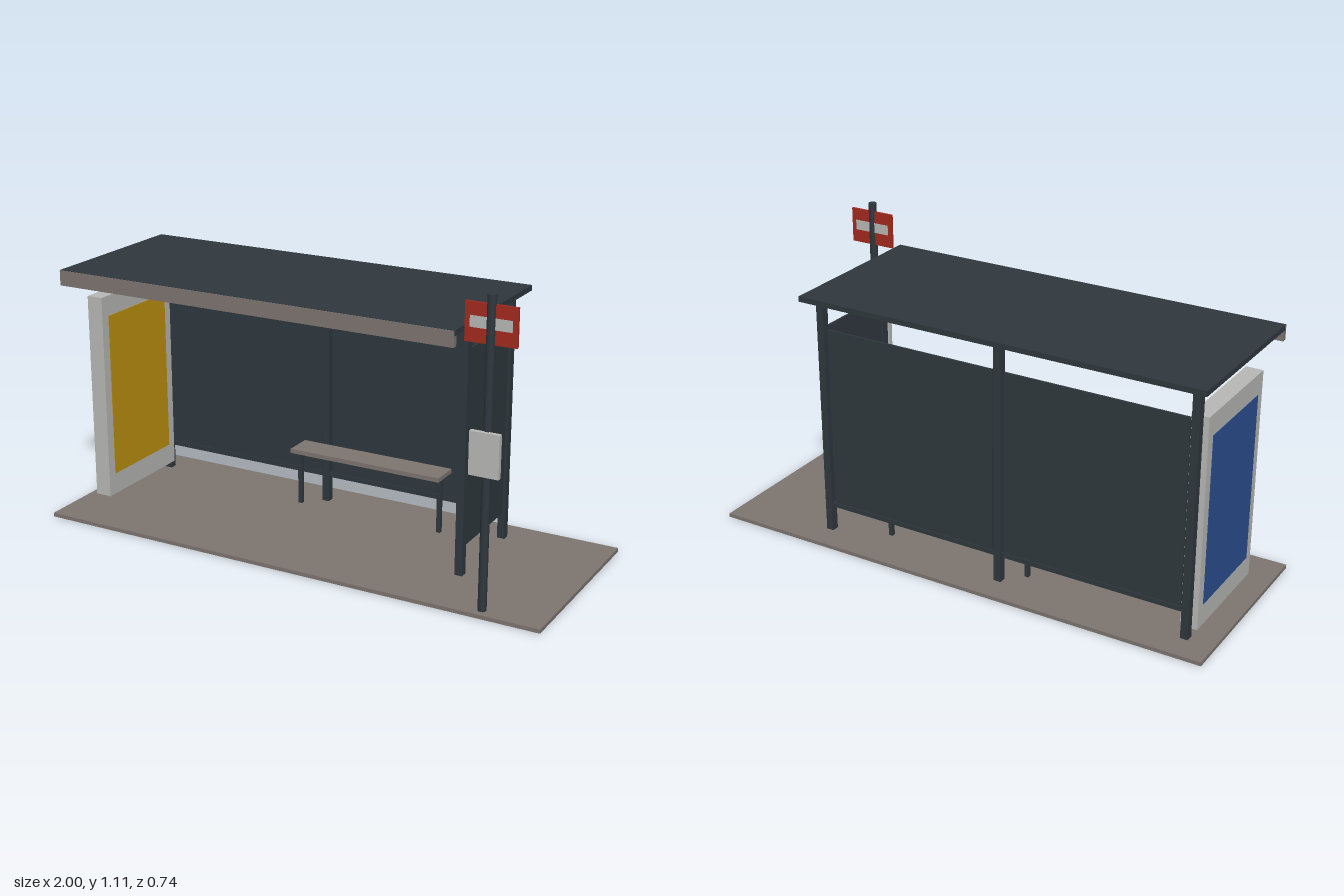
import * as THREE from 'three';

const mat = (name, color) => {
  const m = new THREE.MeshStandardMaterial({ color });
  m.name = name;
  return m;
};

export function createModel() {
  const steel = mat('dark steel', 0x2f383e);
  const stone = mat('warm grey', 0x7d7570);
  const pale = mat('pale grey', 0xb8b9b6);
  const yellow = mat('poster yellow', 0xbd910f);
  const blue = mat('poster blue', 0x2c5090);
  const red = mat('sign red', 0xa32a20);

  const model = new THREE.Group();
  model.name = 'busShelter';

  // Box given by its limits on each axis
  const box = (name, material, [x0, x1], [y0, y1], [z0, z1], parent = model) => {
    const mesh = new THREE.Mesh(new THREE.BoxGeometry(x1 - x0, y1 - y0, z1 - z0), material);
    mesh.position.set((x0 + x1) / 2, (y0 + y1) / 2, (z0 + z1) / 2);
    mesh.name = name;
    parent.add(mesh);
    return mesh;
  };
  const around = (c, half) => [c - half, c + half];

  // Paving slab and roof with front fascia
  box('pavingSlab', stone, [-1, 1], [0.0005, 0.015], [-0.372, 0.372]);
  box('roof', steel, [-0.945, 0.642], [0.95, 0.97], [-0.323, 0.322]);
  box('roofFascia', stone, [-0.945, 0.642], [0.912, 0.969], [0.306, 0.325]);

  // Posts: three at the back, one at the front
  const postX = [-0.89, -0.151, 0.59];
  const backZ = -0.258, frontZ = 0.112;
  for (const x of postX) box('backPost', steel, around(x, 0.0145), [0, 0.95], around(backZ, 0.0145));
  box('frontPost', steel, around(postX[2], 0.0145), [0, 0.95], around(frontZ, 0.0145));

  // Wall panels and rails
  for (const x of [-0.52, 0.22]) {
    box('backPanel', steel, around(x, 0.347), [0.117, 0.836], around(backZ, 0.004));
  }
  box('sidePanel', steel, around(postX[2], 0.004), [0.115, 0.838], [-0.245, 0.099]);
  box('bottomRail', steel, [postX[0], postX[2]], [0.115, 0.133], around(backZ, 0.008));
  box('topRail', steel, [postX[0], postX[2]], [0.932, 0.95], around(backZ, 0.008));

  // Advertising case with a poster on each face
  const advert = new THREE.Group();
  advert.name = 'advertCase';
  model.add(advert);
  box('caseBody', pale, [-0.925, -0.861], [0.047, 0.843], [-0.245, 0.194], advert);
  box('innerPoster', yellow, [-0.862, -0.859], [0.13, 0.765], [-0.208, 0.157], advert);
  box('outerPoster', blue, [-0.927, -0.924], [0.13, 0.765], [-0.208, 0.157], advert);

  // Bench
  const bench = new THREE.Group();
  bench.name = 'bench';
  model.add(bench);
  box('seat', stone, [-0.24, 0.386], [0.235, 0.252], around(-0.185, 0.055), bench);
  for (const x of [-0.227, 0.366]) {
    box('benchLeg', steel, around(x, 0.008), [0, 0.235], around(-0.185, 0.008), bench);
  }

  // Stop pole with sign and timetable
  const stop = new THREE.Group();
  stop.name = 'stopPole';
  model.add(stop);
  const pole = new THREE.Mesh(new THREE.CylinderGeometry(0.0155, 0.0155, 1.113, 12), steel);
  pole.position.set(0.775, 1.113 / 2, 0.334);
  pole.name = 'pole';
  stop.add(pole);
  box('signPlate', red, around(0.775, 0.092), [0.946, 1.08], around(0.331, 0.005), stop);
  box('signBand', pale, around(0.775, 0.074), [0.996, 1.035], around(0.331, 0.0065), stop);
  box('timetable', pale, around(0.775, 0.054), [0.503, 0.656], [0.344, 0.362], stop);

  return model;
}
